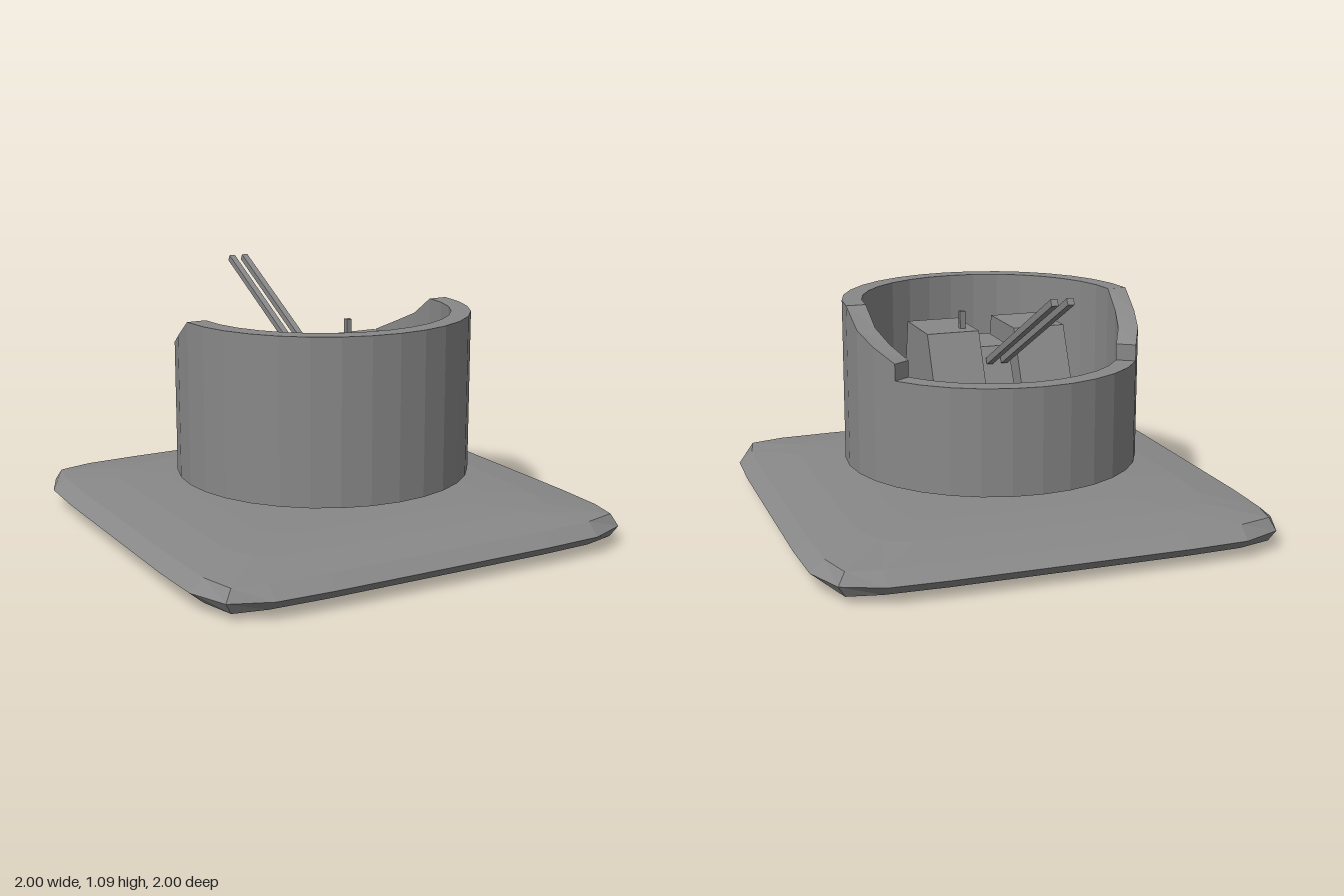
import * as THREE from 'three';

const gray = new THREE.MeshStandardMaterial({ color: 0x888888, flatShading: true });
gray.name = 'gray';

function add(group, name, geometry, x = 0, y = 0, z = 0) {
  const mesh = new THREE.Mesh(geometry, gray);
  mesh.name = name;
  mesh.position.set(x, y, z);
  group.add(mesh);
  return mesh;
}

// Collects flat quads and triangles into one geometry
function faceBuilder() {
  const pos = [];
  return {
    tri: (a, b, c) => pos.push(...a, ...b, ...c),
    quad: (a, b, c, d) => pos.push(...a, ...b, ...c, ...a, ...c, ...d),
    build() {
      const g = new THREE.BufferGeometry();
      g.setAttribute('position', new THREE.Float32BufferAttribute(pos, 3));
      g.computeVertexNormals();
      return g;
    },
  };
}

// Repeats a quarter outline four times around the y axis
function ring(quarter, y, scale = 1) {
  const points = [];
  let q = quarter;
  for (let k = 0; k < 4; k++) {
    q.forEach(([x, z]) => points.push([x * scale, y, z * scale]));
    q = q.map(([x, z]) => [-z, x]);
  }
  return points;
}

// Cushion-shaped square slab
function baseGeometry() {
  const edge = [[1, -0.5], [1, 0.5], [0.99, 0.75], [0.92, 0.92], [0.75, 0.99]];
  const shoulder = [[0.94, -0.5], [0.94, 0.5], [0.93, 0.75], [0.9, 0.89], [0.75, 0.93]];
  const rings = [
    ring(edge, 0, 0.55), ring(edge, 0.006, 0.75), ring(shoulder, 0.03), ring(edge, 0.08),
    ring(shoulder, 0.13), ring(edge, 0.154, 0.75), ring(edge, 0.16, 0.55),
  ];
  const f = faceBuilder();
  const n = rings[0].length;
  const top = rings[rings.length - 1];
  for (let i = 0; i < n; i++) {
    const j = (i + 1) % n;
    for (let k = 0; k < rings.length - 1; k++) {
      f.quad(rings[k][i], rings[k + 1][i], rings[k + 1][j], rings[k][j]);
    }
    f.tri([0, 0.16, 0], top[j], top[i]);
    f.tri([0, 0, 0], rings[0][i], rings[0][j]);
  }
  return f.build();
}

// Round wall with a sloping rim and a lowered section at the back
function wallGeometry() {
  const n = 32, outer = 0.64, inner = 0.555, bottom = 0.25, low = 0.7;
  const slope = [0.95, 0.87, 0.82, 0.77];
  const point = (i, r, y) => {
    const a = (i / n) * Math.PI * 2;
    return [r * Math.cos(a), y, -r * Math.sin(a)];
  };
  const rim = (i) => (i > 16 ? 0.95 : slope[Math.min(i, 16 - i, 3)]);
  const f = faceBuilder();
  for (let i = 0; i < n; i++) {
    const j = i + 1;
    const lowered = i >= 3 && i < 13;
    const hi = lowered ? low : rim(i), hj = lowered ? low : rim(j);
    f.quad(point(i, outer, bottom), point(j, outer, bottom), point(j, outer, hj), point(i, outer, hi));
    f.quad(point(j, inner, bottom), point(i, inner, bottom), point(i, inner, hi), point(j, inner, hj));
    f.quad(point(i, outer, hi), point(j, outer, hj), point(j, inner, hj), point(i, inner, hi));
    f.quad(point(i, inner, bottom), point(j, inner, bottom), point(j, outer, bottom), point(i, outer, bottom));
  }
  // Steps down to the lowered section
  const step = (i) => [point(i, outer, low), point(i, inner, low), point(i, inner, 0.77), point(i, outer, 0.77)];
  f.quad(...step(3));
  f.quad(...step(13).reverse());
  return f.build();
}

// Side profile in (z, y) extruded across x
function profileBlock(profile, width) {
  const shape = new THREE.Shape(profile.map(([z, y]) => new THREE.Vector2(-z, y)));
  const g = new THREE.ExtrudeGeometry(shape, { depth: width, bevelEnabled: false });
  g.translate(0, 0, -width / 2);
  g.rotateY(Math.PI / 2);
  return g;
}

export function createModel() {
  const model = new THREE.Group();
  model.name = 'gunTurret';

  add(model, 'base', baseGeometry());
  add(model, 'pedestal', new THREE.BoxGeometry(0.165, 0.12, 0.26), 0, 0.2, 0.092);
  add(model, 'turretWall', wallGeometry());
  add(model, 'turretFloor', new THREE.CylinderGeometry(0.56, 0.56, 0.04, 32), 0, 0.272, 0);

  // Two consoles with a plate on each sloping back face, and a barrel beside the middle
  const consoleProfile = [[0.28, 0.29], [0.28, 0.5], [0.215, 0.82], [-0.08, 0.82], [-0.22, 0.5], [-0.22, 0.29]];
  for (const [side, s] of [['left', 1], ['right', -1]]) {
    add(model, side + 'Console', profileBlock(consoleProfile, 0.23), s * 0.195, 0, 0);
    const plate = add(model, side + 'Plate', new THREE.BoxGeometry(0.16, 0.05, 0.02), s * 0.2, 0.575, -0.195);
    plate.rotation.x = Math.atan2(0.14, 0.32);
    const barrel = add(model, side + 'Barrel', new THREE.BoxGeometry(0.028, 0.028, 0.84), s * 0.033, 0.88, -0.455);
    barrel.rotation.x = Math.atan(0.527);
  }

  // Lower block that carries the barrels
  const mountProfile = [[0.215, 0.29], [0.215, 0.74], [-0.045, 0.74], [-0.16, 0.5], [-0.16, 0.29]];
  add(model, 'gunMount', profileBlock(mountProfile, 0.135));
  add(model, 'controlStick', new THREE.BoxGeometry(0.024, 0.09, 0.024), 0.13, 0.85, -0.003);

  return model;
}
